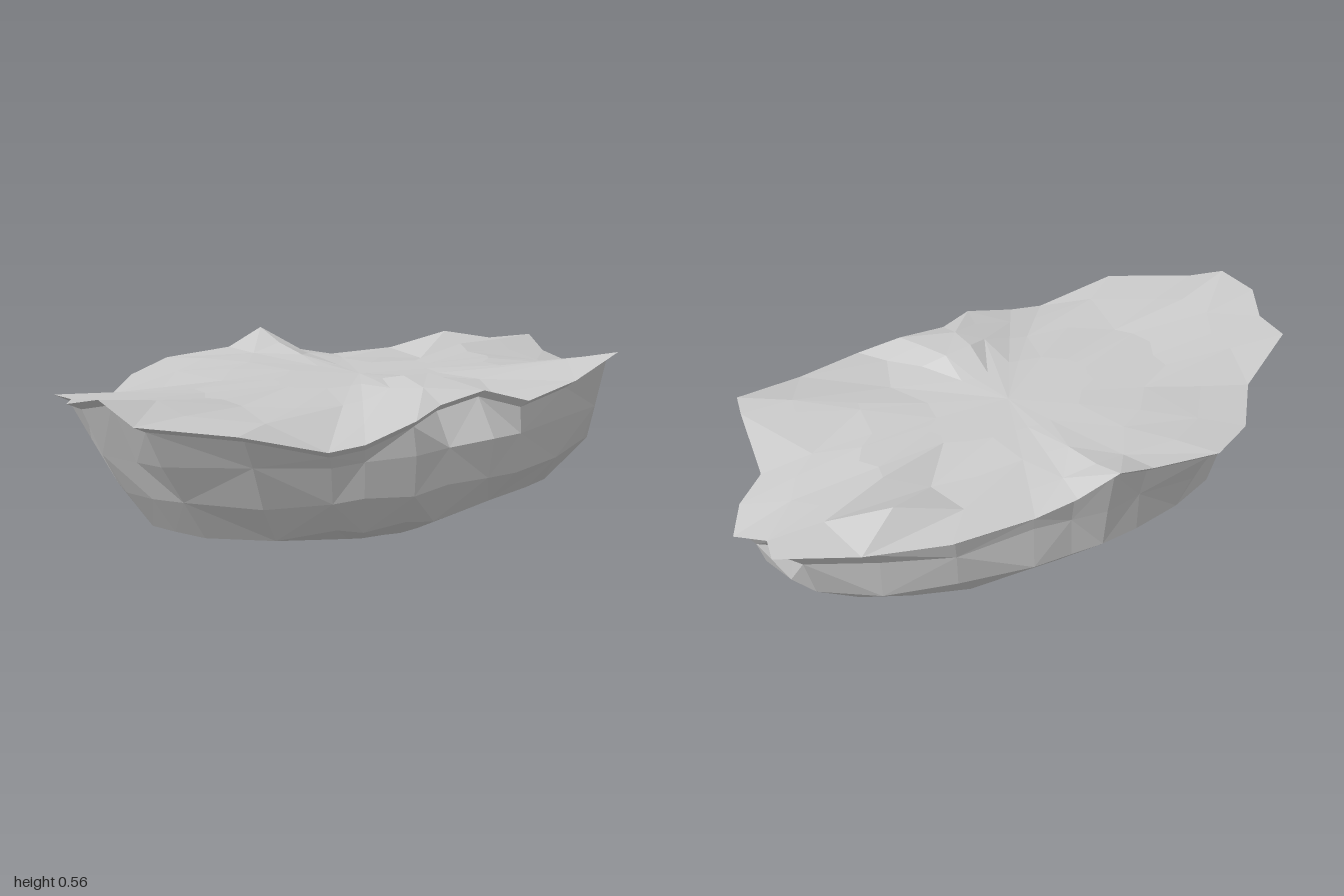
import * as THREE from 'three';

// Rim of the slab, counter-clockwise from above: x, y, z
const RIM = [
  [0.15, 0.56, 0.96], [0.27, 0.5, 0.92], [0.46, 0.48, 0.71], [0.53, 0.41, 0.46], [0.555, 0.42, 0.35],
  [0.57, 0.465, 0.18], [0.51, 0.48, 0.04], [0.51, 0.5, -0.13], [0.565, 0.46, -0.26], [0.52, 0.48, -0.5],
  [0.46, 0.53, -0.75], [0.4, 0.51, -0.77], [0.19, 0.43, -0.82], [0.12, 0.41, -0.93], [0.03, 0.38, -1],
  [-0.09, 0.42, -0.95], [-0.21, 0.455, -0.995], [-0.33, 0.44, -0.78], [-0.42, 0.43, -0.54], [-0.46, 0.43, -0.28],
  [-0.49, 0.46, -0.15], [-0.545, 0.54, -0.04], [-0.53, 0.49, 0.1], [-0.57, 0.475, 0.32], [-0.49, 0.455, 0.5],
  [-0.31, 0.445, 0.675], [-0.21, 0.5, 0.915], [-0.09, 0.51, 0.92], [0.03, 0.53, 0.995],
];
const CX = 0.03, CZ = -0.03;

// Hull rings: y, +x radius, -x radius, front radius, back radius, share of rim shape
const HULL = [
  [0.36, 0.54, 0.525, 0.88, 0.9, 0.65],
  [0.24, 0.51, 0.51, 0.81, 0.87, 0.3],
  [0.12, 0.43, 0.38, 0.74, 0.71, 0.1],
  [0.022, 0.25, 0.14, 0.35, 0.34, 0],
];

function seeded(seed) {
  return () => {
    seed = (seed * 16807) % 2147483647;
    return seed / 2147483647 - 0.5;
  };
}

const bump = (x, z, bx, bz, r) => Math.exp(-((x - bx) ** 2 + (z - bz) ** 2) / (r * r));

// Skin a list of rings; a ring of one point closes into a fan
function loft(rings) {
  const pos = [];
  const tri = (...pts) => pts.forEach((p) => pos.push(...p));
  const n = RIM.length;
  for (let r = 0; r + 1 < rings.length; r++) {
    const a = rings[r], b = rings[r + 1];
    for (let i = 0; i < n; i++) {
      const j = (i + 1) % n;
      if (a.length === 1) tri(a[0], b[i], b[j]);
      else if (b.length === 1) tri(a[i], b[0], a[j]);
      else if ((i + r) % 2) {
        tri(a[i], b[i], b[j]);
        tri(a[i], b[j], a[j]);
      } else {
        tri(a[i], b[i], a[j]);
        tri(b[i], b[j], a[j]);
      }
    }
  }
  const geo = new THREE.BufferGeometry();
  geo.setAttribute('position', new THREE.Float32BufferAttribute(pos, 3));
  geo.computeVertexNormals();
  return geo;
}

export function createModel() {
  const rnd = seeded(41);
  const group = new THREE.Group();
  const stone = new THREE.MeshStandardMaterial({ color: 0xcacaca, flatShading: true });
  stone.name = 'pale stone';
  const add = (name, rings) => {
    const mesh = new THREE.Mesh(loft(rings), stone);
    mesh.name = name;
    group.add(mesh);
  };

  // Rolling top: a ridge and hollow near the back, a low rise at the side
  const topRing = (s) => RIM.map(([x, y, z]) => {
    const px = CX + (x - CX) * s, pz = CZ + (z - CZ) * s;
    const py = 0.48 + (y - 0.48) * s ** 3 + 0.006 * Math.sin(9 * pz + 2 * px)
      + 0.045 * bump(px, pz, -0.23, -0.63, 0.13) - 0.045 * bump(px, pz, -0.18, -0.42, 0.12)
      + 0.05 * bump(px, pz, 0.33, -0.03, 0.13);
    return [px, py, pz];
  });
  add('topSurface', [[[CX, 0.48, CZ]], topRing(0.3), topRing(0.56), topRing(0.8), RIM]);

  // Overhang tucking in below the rim, then the rough belly
  const neck = RIM.map(([x, y, z]) => [CX + (x - CX) * 0.955, y - 0.022, CZ + (z - CZ) * 0.955]);
  const belly = HULL.map(([h, right, left, front, back, share]) => RIM.map(([x, y, z]) => {
    const rx = (x > 0.5 && Math.abs(z) < 0.2 ? 0.6 : x) - CX, rz = z - CZ;
    const a = rx > 0 ? right : left, b = rz > 0 ? front : back;
    const k = 1 / Math.hypot(rx / a, rz / b);
    const rim = rz > 0 || rx < 0 ? 0.9 : 0.95;
    const s = (k * (1 - share) + rim * share) * (1 + rnd() * 0.03);
    const py = Math.min(h + rnd() * 0.02 * (h > 0.1 ? 1 : 0.3), y - 0.06);
    return [CX + rx * s, py, CZ + rz * s];
  }));
  add('overhang', [RIM, neck]);
  add('belly', [neck, ...belly, [[CX, 0, CZ]]]);
  return group;
}
